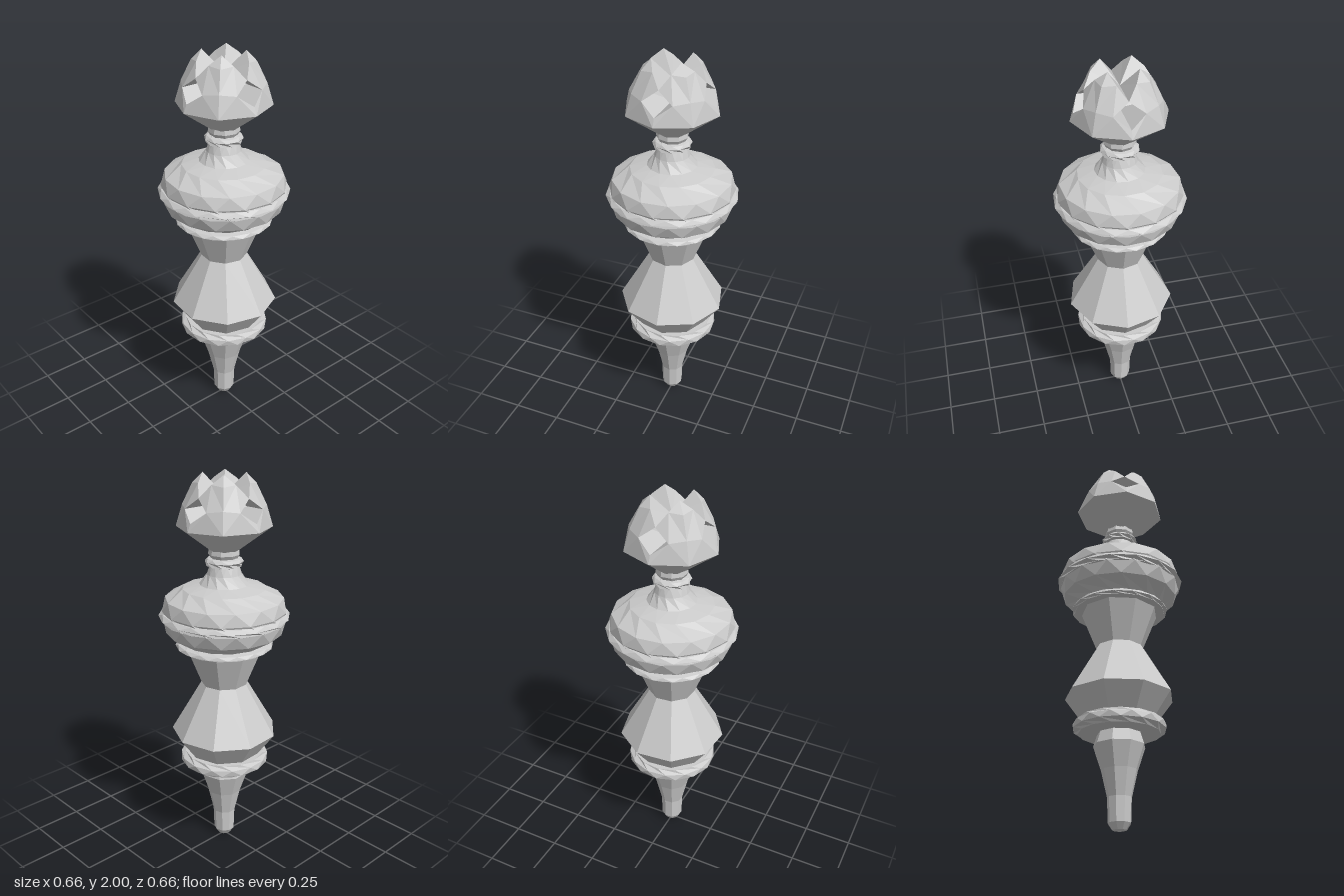
import * as THREE from 'three';

const material = new THREE.MeshStandardMaterial({ color: 0xcccccc, flatShading: true });

// Faceted turned part; profile is [radius, y] from bottom to top.
// With stagger, every other row is turned half a segment to give triangular facets.
function turned(name, profile, sides, stagger = false) {
  const points = profile.map(([r, y]) => new THREE.Vector2(r, y));
  const geometry = new THREE.LatheGeometry(points, sides, THREE.MathUtils.degToRad(5));
  if (stagger) {
    const pos = geometry.attributes.position;
    const half = Math.PI / sides;
    for (let i = 0; i < pos.count; i++) {
      if ((i % points.length) % 2 === 0) continue;
      const x = pos.getX(i), z = pos.getZ(i);
      pos.setX(i, x * Math.cos(half) + z * Math.sin(half));
      pos.setZ(i, z * Math.cos(half) - x * Math.sin(half));
    }
    geometry.computeVertexNormals();
  }
  const mesh = new THREE.Mesh(geometry, material);
  mesh.name = name;
  return mesh;
}

// Four-pronged crown: crossed V grooves on top, crossed diamond tunnels below.
// One eighth is described as [sideways, y, outward], then mirrored and turned.
function crown() {
  const p = {
    N: [0, 1.63, 0.075], n: [0.053, 1.63, 0.053],           // neck
    A: [0, 1.745, 0.235], B: [0.166, 1.745, 0.166],         // widest edge
    C: [0.143, 1.85, 0.143], E: [0.108, 1.95, 0.108],       // prong back
    P: [0.073, 2.0, 0.073], Q: [0.045, 1.957, 0.125],       // prong tip and side
    G: [0, 1.895, 0.165], O: [0, 1.895, 0],                 // groove floor
    M: [0.075, 1.84, 0.185], L: [0, 1.785, 0.218],          // tunnel mouth
    m: [0.075, 1.84, 0.075], o: [0, 1.785, 0],              // tunnel crossing
  };
  const faces = [
    'NnB', 'NBA',                                           // underside
    'ABM', 'AML', 'BCM', 'CQM', 'MQG', 'CEQ', 'EPQ',        // outside
    'OGQ', 'OQP',                                           // groove wall
    'GOm', 'GmM', 'LMm', 'Lmo',                             // tunnel walls
  ];
  const vertices = [];
  for (let quarter = 0; quarter < 4; quarter++) {
    const c = Math.round(Math.cos(quarter * Math.PI / 2));
    const s = Math.round(Math.sin(quarter * Math.PI / 2));
    for (const side of [1, -1]) {
      for (const face of faces) {
        const corners = [...face].map((key) => p[key]);
        if (side < 0) corners.reverse();
        for (const [u, y, w] of corners) {
          vertices.push(side * u * c + w * s, y, w * c - side * u * s);
        }
      }
    }
  }
  const geometry = new THREE.BufferGeometry();
  geometry.setAttribute('position', new THREE.Float32BufferAttribute(vertices, 3));
  geometry.computeVertexNormals();
  const mesh = new THREE.Mesh(geometry, material);
  mesh.name = 'crown';
  return mesh;
}

export function createModel() {
  const model = new THREE.Group();
  model.name = 'finial';
  model.add(
    // Tapered peg with a rounded tip
    turned('peg', [[0, 0], [0.035, 0.008], [0.056, 0.04], [0.06, 0.16], [0.09, 0.29],
      [0.13, 0.41], [0.11, 0.475]], 9),
    // Rounded collar above the peg
    turned('lowerCollar', [[0, 0.47], [0.205, 0.47], [0.233, 0.49], [0.232, 0.52],
      [0.21, 0.54], [0, 0.54]], 14, true),
    // Flared waist body
    turned('waist', [[0.19, 0.54], [0.277, 0.66], [0.12, 0.93], [0.202, 1.135]], 9),
    // Thin ring under the bulb
    turned('upperCollar', [[0, 1.128], [0.235, 1.13], [0.25, 1.14], [0.24, 1.155],
      [0.2, 1.165]], 16, true),
    // Bulb sweeping up into the neck
    turned('bulb', [[0, 1.16], [0.22, 1.165], [0.296, 1.215], [0.315, 1.28], [0.315, 1.33],
      [0.298, 1.39], [0.21, 1.44], [0.125, 1.46], [0.088, 1.51], [0.07, 1.56]], 14, true),
    // Raised band round the bulb
    turned('bulbBand', [[0.29, 1.27], [0.318, 1.28], [0.332, 1.3], [0.315, 1.32],
      [0.29, 1.325]], 16, true),
    // Neck ring and neck
    turned('neckRing', [[0.06, 1.545], [0.09, 1.553], [0.097, 1.575], [0.085, 1.588],
      [0.06, 1.595]], 10, true),
    turned('neck', [[0.07, 1.55], [0.068, 1.59], [0.08, 1.61], [0.075, 1.64]], 9),
    crown(),
  );
  return model;
}
